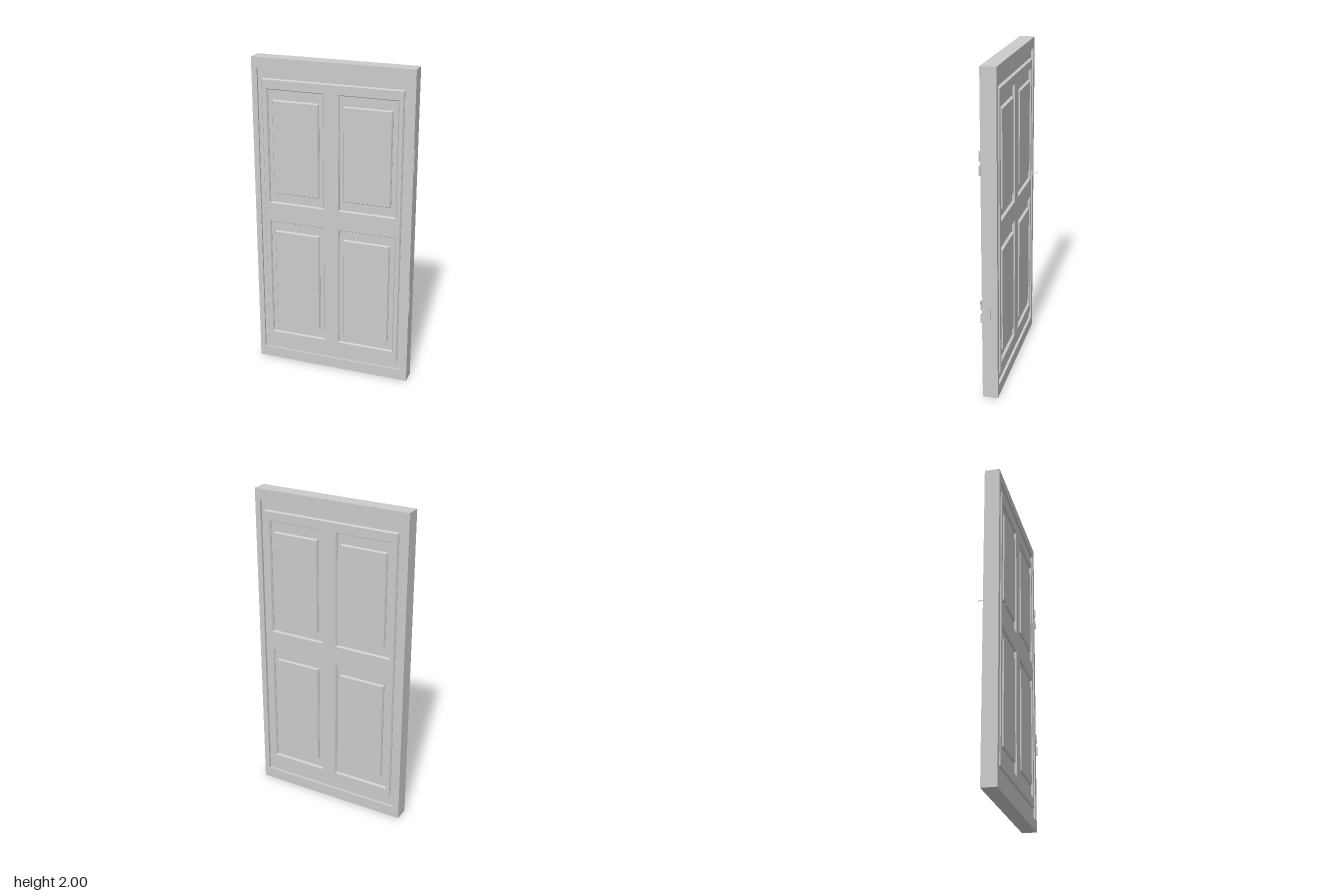
import * as THREE from 'three';

const X0 = -0.502, X1 = 0.496, FRONT = 0.043, BACK = -0.05;

const mat = new THREE.MeshStandardMaterial({ color: 0xcccccc, flatShading: true });

function add(parent, name, geometry, x = 0, y = 0, z = 0) {
  const mesh = new THREE.Mesh(geometry, mat);
  mesh.name = name;
  mesh.position.set(x, y, z);
  parent.add(mesh);
  return mesh;
}

// Closed rectangle from its corner coordinates
function rect([x0, x1, y0, y1], Type = THREE.Shape) {
  return new Type([[x0, y0], [x1, y0], [x1, y1], [x0, y1]].map(p => new THREE.Vector2(...p)));
}

// Slab with optional openings; the bevel slopes in from the outline at the visible face
function slab(outer, holes, depth, bevel) {
  const shape = rect(outer);
  shape.holes = holes.map(h => rect(h, THREE.Path));
  const thick = bevel ? depth * 0.8 : 0;
  return new THREE.ExtrudeGeometry(shape, {
    depth: depth - thick + (bevel ? 0.004 : 0),
    bevelEnabled: bevel > 0, bevelSize: bevel, bevelOffset: -bevel,
    bevelThickness: thick, bevelSegments: 1,
  });
}

// Openings and the raised panels inside them: [x0, x1, y0, y1]
const border = [-0.468, 0.459, 0.07, 1.934];
const field = [-0.443, 0.431, 0.13, 1.876];
const openings = [], panels = [];
for (const [y0, y1, py0, py1] of [[0.198, 0.969, 0.26, 0.912], [1.103, 1.81, 1.16, 1.75]]) {
  openings.push([-0.404, -0.058, y0, y1], [0.045, 0.396, y0, y1]);
  panels.push([-0.379, -0.084, py0, py1], [0.069, 0.366, py0, py1]);
}

// Relief of one face, standing on z = 0 and rising to z = depth
function makeFace(name, depth) {
  const face = new THREE.Group();
  face.name = name;
  add(face, 'outerFrame', slab([X0, X1, 0, 2], [border], depth, 0));
  // Bevelled slabs are lowered so that their tops sit level with the frame
  const place = (label, outer, holes) => {
    const geo = slab(outer, holes, depth, 0.006);
    geo.computeBoundingBox();
    add(face, label, geo, 0, 0, depth - geo.boundingBox.max.z);
  };
  place('stilesAndRails', field, openings);
  panels.forEach(p => place('raisedPanel', p, []));
  return face;
}

function makeHinge(y) {
  const hinge = new THREE.Group();
  hinge.name = 'hinge';
  hinge.position.y = y;
  add(hinge, 'hingeLeaf', new THREE.BoxGeometry(0.002, 0.14, 0.05), X1 + 0.001, 0, 0.018);
  for (const s of [-1, 1]) {
    add(hinge, 'hingeKnuckle', new THREE.CylinderGeometry(0.005, 0.005, 0.058, 10), X1 + 0.002, s * 0.042, 0.047);
  }
  return hinge;
}

// Small knob pointing along direction dir, from the face to tip
function makeKnob(name, x, y, base, tip, r) {
  const knob = new THREE.Group();
  knob.name = name;
  const length = Math.abs(tip - base);
  add(knob, 'knobStem', new THREE.CylinderGeometry(0.0015, 0.0015, length, 8), x, y, (base + tip) / 2).rotation.x = Math.PI / 2;
  add(knob, 'knobCap', new THREE.SphereGeometry(r, 10, 6), x, y, tip).scale.z = 0.45;
  return knob;
}

export function createModel() {
  const door = new THREE.Group();
  door.name = 'panelledDoor';

  // Core between the two carved faces
  const df = 0.013, db = 0.016;
  const coreFront = FRONT - df, coreBack = BACK + db;
  add(door, 'doorCore', new THREE.BoxGeometry(X1 - X0, 2, coreFront - coreBack),
    (X0 + X1) / 2, 1, (coreFront + coreBack) / 2);

  const front = makeFace('frontFace', df);
  front.position.z = coreFront;
  door.add(front);

  // The back repeats the front, turned about the door's own middle
  const back = makeFace('backFace', db);
  back.rotation.y = Math.PI;
  back.position.set(X0 + X1, 0, coreBack);
  door.add(back);

  for (const y of [0.565, 1.465]) door.add(makeHinge(y));

  door.add(makeKnob('frontKnob', -0.446, 1.088, FRONT - df, 0.079, 0.006));
  door.add(makeKnob('backKnob', -0.465, 1.122, BACK + db, -0.083, 0.005));
  return door;
}
